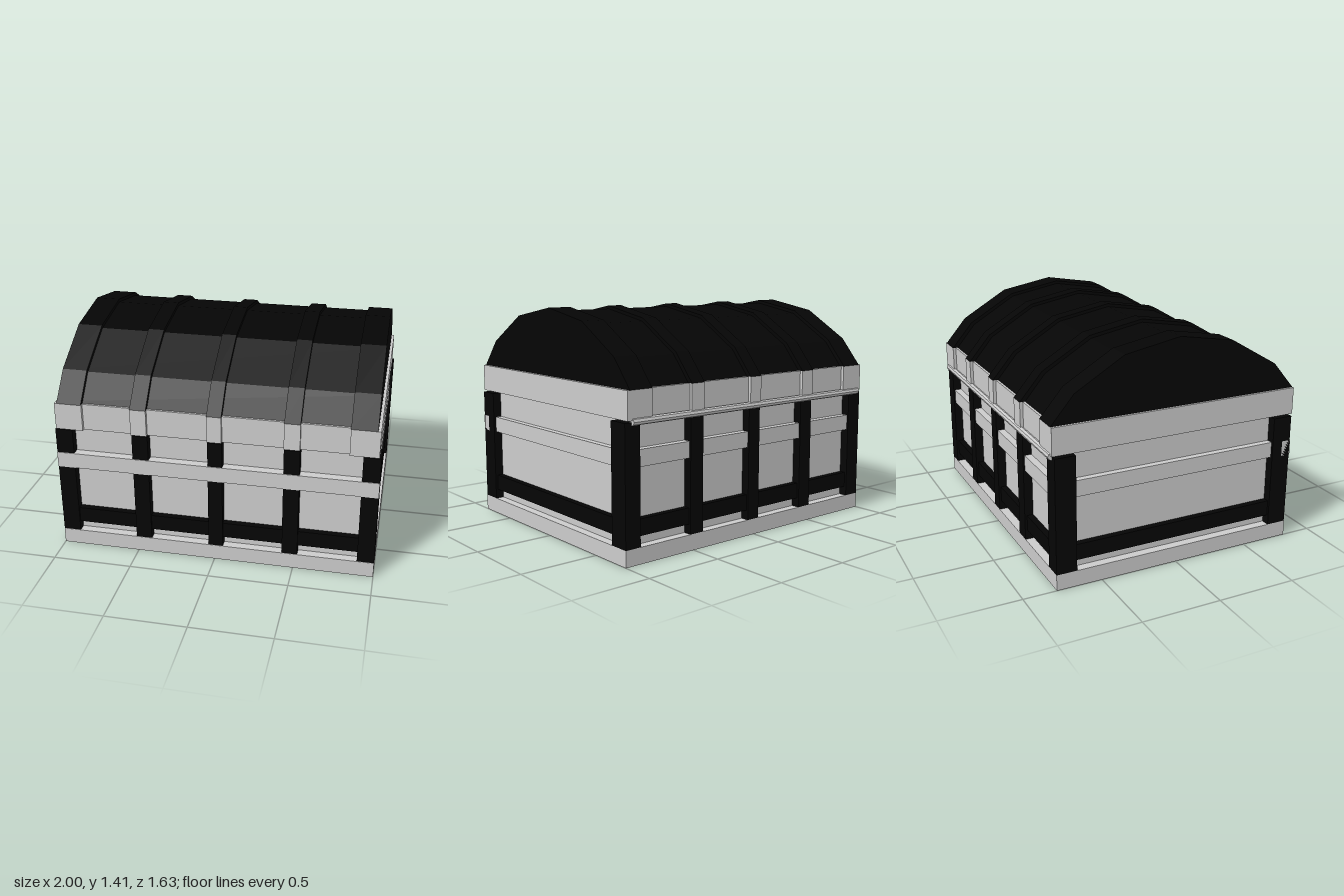
import * as THREE from 'three';

const grey = new THREE.MeshStandardMaterial({ color: 0xcccccc, flatShading: true });
const black = new THREE.MeshStandardMaterial({ color: 0x050505, flatShading: true });

// Box given by its extents along each axis
function block(parent, name, material, [x0, x1], [y0, y1], [z0, z1]) {
  const mesh = new THREE.Mesh(new THREE.BoxGeometry(x1 - x0, y1 - y0, z1 - z0), material);
  mesh.position.set((x0 + x1) / 2, (y0 + y1) / 2, (z0 + z1) / 2);
  mesh.name = name;
  parent.add(mesh);
}

// Faceted arch (half profile mirrored in z) extruded along x
function arch(parent, name, half, x0, x1) {
  const left = half.slice(0, -1).reverse().map(([z, y]) => [-z, y]);
  const shape = new THREE.Shape([...half, ...left].map(([z, y]) => new THREE.Vector2(z, y)));
  const geometry = new THREE.ExtrudeGeometry(shape, { depth: x1 - x0, bevelEnabled: false });
  geometry.rotateY(-Math.PI / 2).translate(x1, 0, 0);
  const mesh = new THREE.Mesh(geometry, black);
  mesh.name = name;
  parent.add(mesh);
}

function rectangle(target, x, z) {
  target.moveTo(-x, -z);
  target.lineTo(x, -z);
  target.lineTo(x, z);
  target.lineTo(-x, z);
  target.closePath();
  return target;
}

export function createModel() {
  const chest = new THREE.Group();
  chest.name = 'chest';
  const body = new THREE.Group();
  body.name = 'body';
  const lid = new THREE.Group();
  lid.name = 'lid';
  chest.add(body, lid);

  // Base frame with a recessed floor
  const outline = rectangle(new THREE.Shape(), 1, 0.8);
  outline.holes.push(rectangle(new THREE.Path(), 0.89, 0.69));
  const frame = new THREE.Mesh(
    new THREE.ExtrudeGeometry(outline, { depth: 0.1, bevelEnabled: false }).rotateX(-Math.PI / 2), grey);
  frame.name = 'baseFrame';
  body.add(frame);
  block(body, 'floor', grey, [-0.89, 0.89], [0.05, 0.1], [-0.69, 0.69]);

  // Inset wall panels
  block(body, 'walls', grey, [-0.945, 0.945], [0.1, 0.82], [-0.745, 0.745]);

  // Corner posts
  for (const s of [-1, 1]) {
    for (const t of [-1, 1]) {
      const xs = s > 0 ? [0.895, 1] : [-1, -0.89];
      const zs = t > 0 ? [0.67, 0.797] : [-0.8, -0.67];
      block(body, 'cornerPost', black, xs, [0.1, 0.82], zs);
    }
  }

  // Upright straps on front and back
  const straps = [[-0.51, -0.41], [-0.037, 0.053], [0.428, 0.525]];
  for (const xs of straps) {
    block(body, 'frontStrap', black, xs, [0.1, 0.82], [0.74, 0.797]);
    block(body, 'backStrap', black, xs, [0.1, 0.82], [-0.8, -0.74]);
  }

  // Horizontal rails: the upper front rail crosses over the posts
  const upper = [0.56, 0.66], lower = [0.16, 0.26];
  block(body, 'frontUpperRail', grey, [-1, 1], upper, [0.74, 0.802]);
  block(body, 'frontLowerRail', black, [-0.9, 0.9], lower, [0.74, 0.785]);
  block(body, 'backUpperRail', grey, [-0.9, 0.9], upper, [-0.79, -0.74]);
  block(body, 'backLowerRail', black, [-0.9, 0.9], lower, [-0.785, -0.74]);
  for (const s of [-1, 1]) {
    const xs = s > 0 ? [0.94, 0.985] : [-0.985, -0.94];
    block(body, 'sideUpperRail', grey, xs, upper, [-0.68, 0.68]);
    block(body, 'sideLowerRail', black, xs, lower, [-0.68, 0.68]);
  }

  // Lid rim and the grey ends of the lid bands
  block(lid, 'lidRim', grey, [-0.98, 0.98], [0.83, 1], [-0.79, 0.79]);
  for (const xs of [[-0.988, -0.815], ...straps, [0.815, 0.988]]) {
    block(lid, 'rimBand', grey, xs, [0.83, 1], [-0.81, 0.81]);
  }

  // Domed top and the raised bands over it
  const dome = [[0.775, 1], [0.645, 1.155], [0.345, 1.333], [0, 1.395]];
  const band = [[0.81, 1], [0.665, 1.17], [0.355, 1.352], [0, 1.415]];
  arch(lid, 'dome', dome, -0.968, 0.968);
  for (const [x0, x1] of [[-0.972, -0.818], ...straps, [0.815, 0.97]]) {
    arch(lid, 'domeBand', band, x0, x1);
  }

  // Hinge rod along the back
  const hinge = new THREE.Mesh(new THREE.CylinderGeometry(0.022, 0.022, 1.92, 8), grey);
  hinge.name = 'hingeRod';
  hinge.rotation.z = Math.PI / 2;
  hinge.position.set(-0.005, 0.823, -0.803);
  chest.add(hinge);

  // The hinge sticks out at the back, so the chest sits slightly forward
  body.position.z = lid.position.z = 0.01;
  hinge.position.z += 0.01;
  return chest;
}
